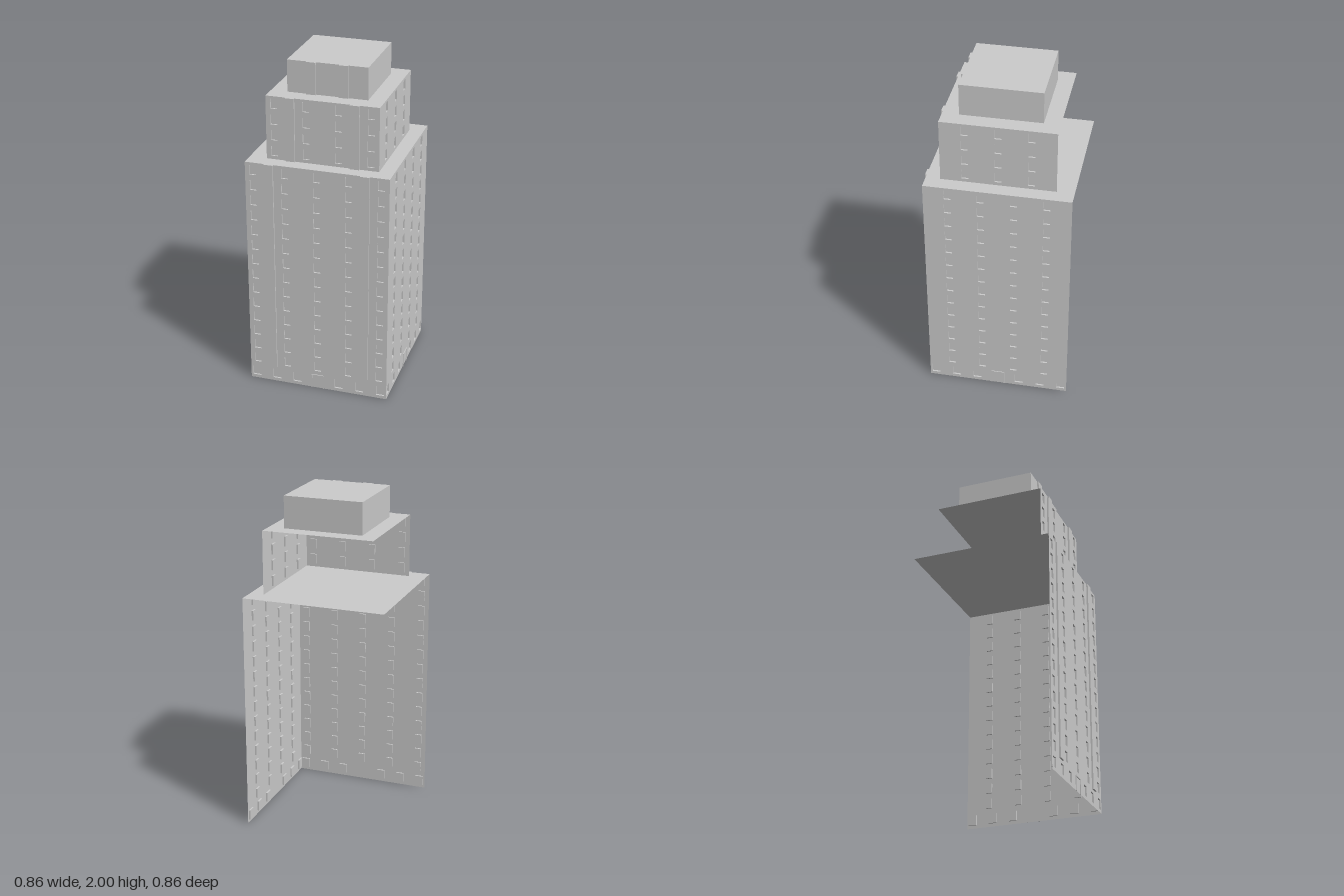
import * as THREE from 'three';
import { mergeGeometries } from 'three/addons/utils/BufferGeometryUtils.js';

const material = new THREE.MeshStandardMaterial({ color: 0xcccccc, side: THREE.DoubleSide, flatShading: true });
const FLOOR = 0.0953; // height of one storey
const DEPTH = 0.01;   // depth of window recesses

function mesh(name, geometry, parent) {
  const m = new THREE.Mesh(geometry, material);
  m.name = name;
  parent.add(m);
  return m;
}

function box(name, parent, x0, x1, y0, y1, z0, z1) {
  const g = new THREE.BoxGeometry(x1 - x0, y1 - y0, z1 - z0);
  g.translate((x0 + x1) / 2, (y0 + y1) / 2, (z0 + z1) / 2);
  return mesh(name, g, parent);
}

// Box without its front face: the sides and back of a recess
function recess({ x, y, w, h }) {
  const g = new THREE.BoxGeometry(w, h, DEPTH);
  const index = Array.from(g.index.array);
  index.splice(24, 6);
  // turn the faces inwards
  for (let i = 0; i < index.length; i += 3) [index[i], index[i + 1]] = [index[i + 1], index[i]];
  g.setIndex(index);
  const n = g.attributes.normal;
  for (let i = 0; i < n.count; i++) n.setXYZ(i, -n.getX(i), -n.getY(i), -n.getZ(i));
  g.clearGroups();
  return g.translate(x, y + h / 2, -DEPTH / 2);
}

// Thin wall in the xy plane, pierced by openings that are closed with recesses
function wall(name, width, height, openings) {
  const group = new THREE.Group();
  group.name = name;
  const shape = new THREE.Shape();
  shape.moveTo(-width / 2, 0).lineTo(width / 2, 0).lineTo(width / 2, height).lineTo(-width / 2, height).closePath();
  for (const { x, y, w, h } of openings) {
    const hole = new THREE.Path();
    hole.moveTo(x - w / 2, y).lineTo(x - w / 2, y + h).lineTo(x + w / 2, y + h).lineTo(x + w / 2, y).closePath();
    shape.holes.push(hole);
  }
  mesh('wallSurface', new THREE.ShapeGeometry(shape), group);
  mesh('windowRecesses', mergeGeometries(openings.map(recess)), group);
  return group;
}

// Grid of windows, centred on the wall
function windowGrid(columns, firstFloor, lastFloor) {
  const list = [];
  for (let f = firstFloor; f <= lastFloor; f++)
    for (let c = 0; c < columns; c++)
      list.push({ x: (c - (columns - 1) / 2) * 0.19, y: f * FLOOR + 0.02, w: 0.04, h: 0.06 });
  return list;
}

// Ground floor: three windows on each side of the door
function groundWindows() {
  return [-3, -2, -1, 1, 2, 3].map((i) => ({ x: i * 0.13, y: 0.02, w: 0.05, h: 0.06 }));
}

// Slim frame around the entrance
function doorFrame(parent) {
  const g = new THREE.Group();
  g.name = 'doorFrame';
  for (const s of [-1, 1]) box('doorJamb', g, s * 0.037 - 0.003, s * 0.037 + 0.003, 0, 0.09, 0, 0.005);
  box('doorLintel', g, -0.04, 0.04, 0.084, 0.09, 0, 0.005);
  parent.add(g);
}

// Storey block with a front wall, a left wall and a roof; the other sides are open
function tier(name, { x0, x1, z0, z1, y0, y1 }, frontColumns, sideColumns, floors, hasDoors) {
  const g = new THREE.Group();
  g.name = name;
  const first = hasDoors ? 1 : 0;
  const openings = (columns) => [...windowGrid(columns, first, floors - 1), ...(hasDoors ? groundWindows() : [])];

  const front = wall('frontWall', x1 - x0, y1 - y0, openings(frontColumns));
  front.position.set((x0 + x1) / 2, y0, z1);
  const side = wall('leftWall', z1 - z0, y1 - y0, openings(sideColumns));
  side.rotation.y = Math.PI / 2;
  side.position.set(x1, y0, (z0 + z1) / 2);
  if (hasDoors) [front, side].forEach(doorFrame);
  g.add(front, side);

  const roof = new THREE.PlaneGeometry(x1 - x0, z1 - z0).rotateX(-Math.PI / 2);
  roof.translate((x0 + x1) / 2, y1, (z0 + z1) / 2);
  mesh('roof', roof, g);
  return g;
}

export function createModel() {
  const model = new THREE.Group();
  model.name = 'tower';

  const lower = { x0: -0.43, x1: 0.425, z0: -0.432, z1: 0.421, y0: 0, y1: 1.43 };
  const middle = { x0: -0.327, x1: 0.339, z0: -0.33, z1: 0.336, y0: 1.43, y1: 1.81 };
  const top = { x0: -0.23, x1: 0.244, z0: -0.235, z1: 0.24, y0: 1.81, y1: 2 };

  model.add(tier('lowerTier', lower, 5, 4, 15, true));
  model.add(tier('middleTier', middle, 4, 3, 4, false));
  box('topTier', model, top.x0, top.x1, top.y0, top.y1, top.z0, top.z1);

  // Pairs of flat pilasters on the front of each tier
  for (const [t, offset, bottom] of [[lower, 0.285, 0.1], [middle, 0.19, 1.43], [top, 0.095, 1.81]]) {
    for (const s of [-1, 1]) {
      const x = (t.x0 + t.x1) / 2 + s * offset;
      box('pilaster', model, x - 0.028, x + 0.028, bottom, t.y1, t.z1, t.z1 + 0.01);
    }
  }
  return model;
}
